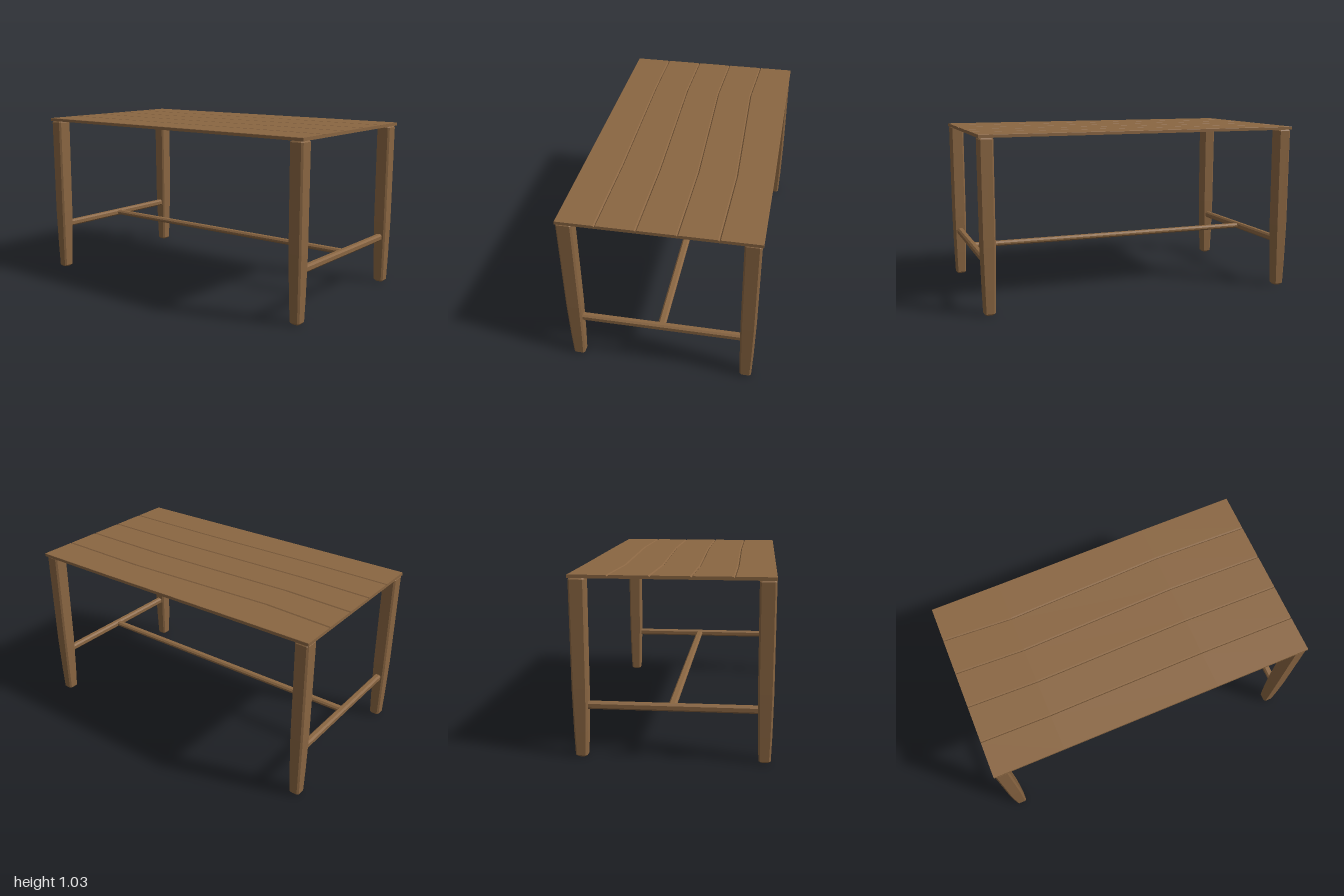
import * as THREE from 'three';

const wood = new THREE.MeshStandardMaterial({ color: 0x8a6642, flatShading: true, side: THREE.FrontSide });

// Closed skin over matching convex rings, counter-clockwise about the sweep direction
function loft(name, rings) {
  const pos = [];
  const tri = (...pts) => pts.forEach((p) => pos.push(p.x, p.y, p.z));
  const n = rings[0].length;
  for (let i = 0; i < rings.length - 1; i++) {
    for (let j = 0; j < n; j++) {
      const k = (j + 1) % n;
      const a = rings[i][j], b = rings[i][k], c = rings[i + 1][k], d = rings[i + 1][j];
      tri(a, b, c);
      tri(a, c, d);
    }
  }
  const first = rings[0], last = rings[rings.length - 1];
  for (let j = 1; j < n - 1; j++) {
    tri(first[0], first[j + 1], first[j]);
    tri(last[0], last[j], last[j + 1]);
  }
  const geo = new THREE.BufferGeometry();
  geo.setAttribute('position', new THREE.Float32BufferAttribute(pos, 3));
  geo.computeVertexNormals();
  const mesh = new THREE.Mesh(geo, wood);
  mesh.name = name;
  return mesh;
}

// Rectangle with cut corners, counter-clockwise, half sizes u and v
function chamferedRect(u, v, c) {
  return [
    [u, c - v], [u, v - c], [u - c, v], [c - u, v],
    [-u, v - c], [-u, c - v], [c - u, -v], [u - c, -v],
  ];
}

// Tapered leg with bevelled foot and head
function leg(name, x, z) {
  const levels = [ // height, half depth (z), half width (x)
    [0, 0.025, 0.023], [0.01, 0.034, 0.032], [0.15, 0.039, 0.036],
    [0.4, 0.044, 0.041], [1.007, 0.046, 0.042], [1.016, 0.039, 0.035],
  ];
  return loft(name, levels.map(([y, hz, hx]) =>
    chamferedRect(hz, hx, 0.01).map(([u, v]) => new THREE.Vector3(x + v, y, z + u))));
}

// Straight rail along z, with cut edges
function rail(name, halfWidth, halfHeight, length) {
  return loft(name, [-length / 2, length / 2].map((z) =>
    chamferedRect(halfWidth, halfHeight, 0.01).map(([u, v]) => new THREE.Vector3(u, v, z))));
}

// Planks share wavy seams; bevelled upper edges form the grooves
function tabletop() {
  const group = new THREE.Group();
  group.name = 'tabletop';
  const stations = [-0.997, -0.57, 0.4, 0.997];
  const seams = [
    [-0.558, -0.558, -0.565, -0.565],
    [-0.338, -0.314, -0.347, -0.333],
    [-0.112, -0.094, -0.12, -0.109],
    [0.111, 0.123, 0.107, 0.115],
    [0.338, 0.344, 0.334, 0.34],
    [0.562, 0.562, 0.562, 0.562],
  ];
  const lo = 1.016, hi = 1.035, depth = 0.007;
  for (let p = 0; p < seams.length - 1; p++) {
    const back = p === 0 ? 0.002 : 0.007;
    const front = p === seams.length - 2 ? 0.002 : 0.007;
    group.add(loft(`plank${p + 1}`, stations.map((x, s) => {
      const z0 = seams[p][s], z1 = seams[p + 1][s];
      return [
        [lo, z0], [hi - (p === 0 ? 0.002 : depth), z0], [hi, z0 + back],
        [hi, z1 - front], [hi - (p === seams.length - 2 ? 0.002 : depth), z1], [lo, z1],
      ].map(([y, z]) => new THREE.Vector3(x, y, z));
    })));
  }
  return group;
}

export function createModel() {
  const model = new THREE.Group();
  model.name = 'table';
  model.add(tabletop());

  // Legs and side stretchers, mirrored left and right
  for (const [side, sx] of [['left', 1], ['right', -1]]) {
    model.add(leg(`${side}FrontLeg`, sx * 0.951, 0.515));
    model.add(leg(`${side}BackLeg`, sx * 0.951, -0.509));
    const stretcher = rail(`${side}Stretcher`, 0.021, 0.021, 0.98);
    stretcher.position.set(sx * 0.951, 0.299, 0.003);
    model.add(stretcher);
  }

  // Long stretcher joining the two side stretchers
  const centre = rail('centreStretcher', 0.023, 0.015, 1.89);
  centre.rotation.y = Math.PI / 2;
  centre.position.set(0, 0.3, 0);
  model.add(centre);

  return model;
}
